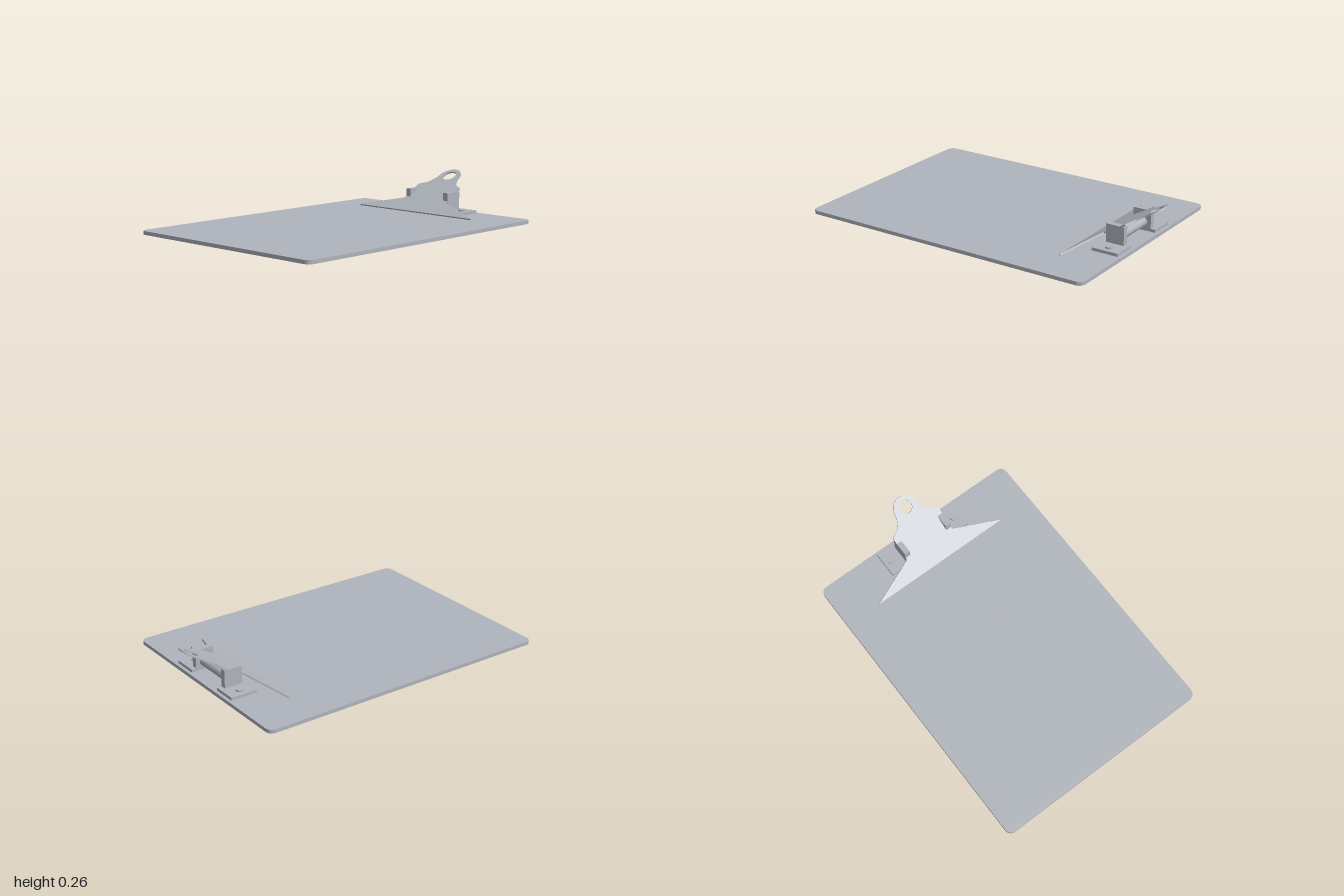
import * as THREE from 'three';

export function createModel() {
  const group = new THREE.Group();
  group.name = 'clipboard';
  const grey = new THREE.MeshStandardMaterial({ color: 0xb0b4bc });
  grey.name = 'grey';

  const add = (name, geometry, x, y, z) => {
    const mesh = new THREE.Mesh(geometry, grey);
    mesh.name = name;
    mesh.position.set(x, y, z);
    group.add(mesh);
    return mesh;
  };
  const box = (name, x0, x1, y0, y1, z0, z1) =>
    add(name, new THREE.BoxGeometry(x1 - x0, y1 - y0, z1 - z0), (x0 + x1) / 2, (y0 + y1) / 2, (z0 + z1) / 2);

  // Board with rounded corners, laid flat
  const w = 0.69, h = 0.94, r = 0.04;
  const outline = new THREE.Shape();
  outline.absarc(w - r, h - r, r, 0, Math.PI / 2);
  outline.absarc(-w + r, h - r, r, Math.PI / 2, Math.PI);
  outline.absarc(-w + r, -h + r, r, Math.PI, Math.PI * 1.5);
  outline.absarc(w - r, -h + r, r, Math.PI * 1.5, Math.PI * 2);
  const board = new THREE.ExtrudeGeometry(outline, { depth: 0.022, bevelEnabled: false, curveSegments: 8 });
  board.rotateX(-Math.PI / 2);
  add('board', board, 0, 0, 0.06);

  // Sloping clip plate: flared jaw, notches for the posts, and a hanging ring
  const side = [[0.455, 0], [0.455, 0.004], [0.17, 0.125], [0.17, 0.14], [0.135, 0.14],
    [0.135, 0.235], [0.17, 0.235], [0.17, 0.28], [0.125, 0.304], [0.11, 0.318]];
  const clip = new THREE.Shape();
  clip.moveTo(-0.455, 0);
  side.forEach(([x, y]) => clip.lineTo(x, y));
  clip.quadraticCurveTo(0.086, 0.35, 0.08, 0.387);
  clip.absarc(0, 0.387, 0.08, 0, Math.PI);
  clip.quadraticCurveTo(-0.086, 0.35, -0.11, 0.318);
  side.slice(0, -1).reverse().forEach(([x, y]) => clip.lineTo(-x, y));
  const hole = new THREE.Path();
  hole.absarc(0, 0.397, 0.043, 0, Math.PI * 2, true);
  clip.holes.push(hole);
  const plate = new THREE.ExtrudeGeometry(clip, { depth: 0.009, bevelEnabled: false, curveSegments: 20 });
  add('clipPlate', plate, 0, 0.026, -0.594).rotation.x = -1.067;

  // Mounting bracket, mirrored on both sides
  for (const s of [1, -1]) {
    const pair = (a, b) => (s > 0 ? [a, b] : [-b, -a]);
    box('bracketPad', ...pair(0.135, 0.285), 0.022, 0.04, -0.86, -0.692);
    box('bracketPost', ...pair(0.135, 0.17), 0.022, 0.15, -0.83, -0.715);
    add('rivet', new THREE.CylinderGeometry(0.022, 0.022, 0.01, 20), s * 0.236, 0.045, -0.776);
  }

  // Spring bar between the posts
  const bar = new THREE.CylinderGeometry(0.03, 0.03, 0.27, 20);
  bar.rotateZ(Math.PI / 2);
  add('springBar', bar, 0, 0.075, -0.775);

  return group;
}
